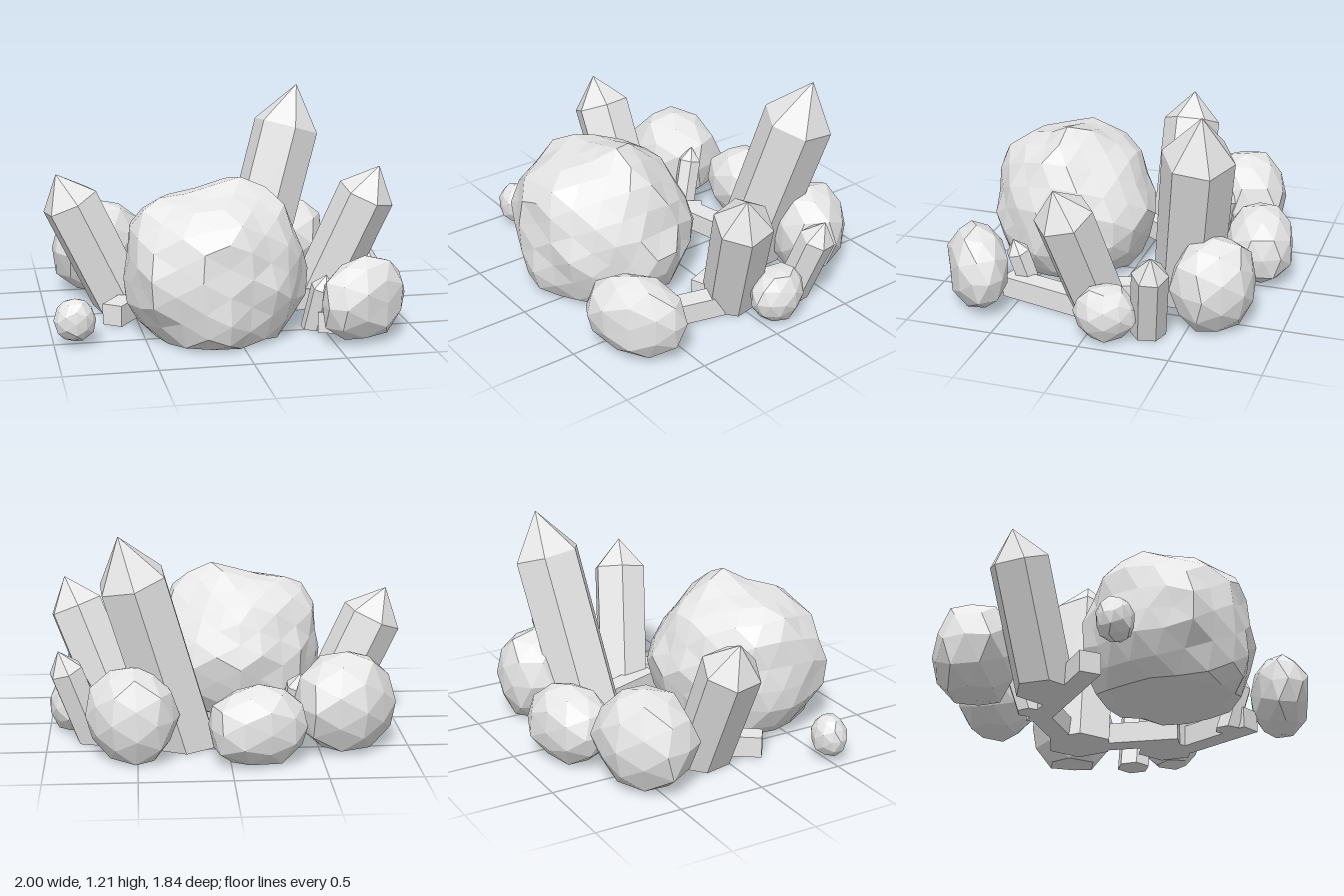
import * as THREE from 'three';

const stone = new THREE.MeshStandardMaterial({ color: 0xe7e7e7, flatShading: true });
stone.name = 'pale grey stone';

function mesh(name, geometry) {
  geometry.computeVertexNormals();
  const m = new THREE.Mesh(geometry, stone);
  m.name = name;
  return m;
}

// Smooth repeatable bumps in -1..1, so neighbouring facets never split apart
function bumps(v, seed, grain) {
  const x = v.x * grain, y = v.y * grain, z = v.z * grain;
  return (Math.sin(x * 7.3 + y * 3.1 + seed) + Math.sin(y * 8.1 - z * 4.3 + seed * 2.3)
    + Math.sin(z * 7.7 + x * 5.2 + seed * 3.7)) / 2.2;
}

function eachVertex(geometry, fn) {
  const p = geometry.attributes.position, v = new THREE.Vector3();
  for (let i = 0; i < p.count; i++) {
    v.fromBufferAttribute(p, i);
    fn(v);
    p.setXYZ(i, v.x, v.y, v.z);
  }
  return geometry;
}

// Faceted boulder: roughened, slightly boxy ball, stretched and turned, fitted to a box,
// swollen by lumps [centre, reach, push] and cut flat at the ground
function rock({ name, min, max, detail = 1, stretch = 1, yaw = 0, rough = 0.055, grain = 1, lumps = [], seed = 1 }) {
  const g = new THREE.IcosahedronGeometry(1, detail);
  eachVertex(g, (v) => {
    const boxy = 0.88 + 0.12 / Math.max(Math.abs(v.x), Math.abs(v.y), Math.abs(v.z));
    v.multiplyScalar(boxy * (1 + bumps(v, seed, grain) * rough));
    v.x *= stretch;
  });
  g.rotateY(yaw);
  g.computeBoundingBox();
  const lo = g.boundingBox.min.clone(), size = g.boundingBox.getSize(new THREE.Vector3());
  const a = new THREE.Vector3(...min), span = new THREE.Vector3(...max).sub(a);
  const swells = lumps.map(([c, reach, push]) => ({ c: new THREE.Vector3(...c), reach, push: new THREE.Vector3(...push) }));
  eachVertex(g, (v) => {
    v.sub(lo).divide(size).multiply(span).add(a);
    const start = v.clone();
    swells.forEach(({ c, reach, push }) => v.addScaledVector(push, Math.max(0, 1 - start.distanceTo(c) / reach)));
    v.y = Math.max(v.y, 0);
  });
  return mesh(name, g);
}

// Leaning six-sided crystal: prism cut level with the ground, and a pointed tip
function crystal({ name, base, apex, radius, tip, spin = 0 }) {
  const foot = new THREE.Vector3(...base), axis = new THREE.Vector3(...apex).sub(foot);
  const length = axis.length(), body = length - tip;
  axis.normalize();
  const turn = new THREE.Quaternion().setFromUnitVectors(new THREE.Vector3(0, 1, 0), axis);
  const place = (g, level) => eachVertex(g.rotateY(spin), (v) => {
    const atFoot = level && v.y < 0.001;
    v.applyQuaternion(turn).add(foot);
    if (atFoot) v.addScaledVector(axis, -v.y / axis.y);
  });
  const group = new THREE.Group();
  group.name = name;
  group.add(
    mesh('crystalBody', place(new THREE.CylinderGeometry(radius, radius * 0.98, body, 6).translate(0, body / 2, 0), true)),
    mesh('crystalTip', place(new THREE.ConeGeometry(radius, tip, 6, 1, true).translate(0, body + tip / 2, 0), false)),
  );
  return group;
}

// Low straight kerb between two ground points
function kerb([x1, z1], [x2, z2], width = 0.12, height = 0.12) {
  const g = new THREE.BoxGeometry(Math.hypot(x2 - x1, z2 - z1), height, width);
  g.rotateY(-Math.atan2(z2 - z1, x2 - x1));
  g.translate((x1 + x2) / 2, height / 2, (z1 + z2) / 2);
  return mesh('kerb', g);
}

// Swellings of the large boulder: crown, shoulders, flanks and foot
const largeLumps = [
  [[0.05, 0.78, 0.36], 0.2, [0, 0.1, 0]],
  [[0.2, 0.67, 0.4], 0.2, [0.04, 0.05, 0]],
  [[-0.45, 0.66, 0.38], 0.3, [-0.08, 0.04, 0]],
  [[-0.1, 0.64, 0.74], 0.3, [0, 0.02, 0.05]],
  [[-0.42, 0.45, 0.72], 0.35, [-0.05, 0, 0.05]],
  [[0.4, 0.2, 0.32], 0.25, [0.08, 0, 0]],
  [[-0.17, 0.15, 0.84], 0.25, [0, -0.03, 0.06]],
  [[-0.56, 0.22, 0.42], 0.25, [-0.06, 0, 0]],
  [[0.18, 0.35, -0.02], 0.25, [0.02, 0, -0.05]],
  [[-0.1, 0.35, -0.05], 0.2, [0, 0, -0.03]],
];

export function createModel() {
  const model = new THREE.Group();
  model.name = 'crystalRocks';

  // Boulders
  [
    { name: 'largeBoulder', min: [-0.57, -0.15, -0.07], max: [0.4, 0.8, 0.85], detail: 3, rough: 0.04, grain: 1.5, lumps: largeLumps, seed: 3 },
    { name: 'backRightBoulder', min: [-0.92, -0.02, -0.75], max: [-0.36, 0.55, -0.28], stretch: 1.25, yaw: 0.4, seed: 2 },
    { name: 'backBoulder', min: [-0.41, -0.02, -0.92], max: [0.12, 0.435, -0.52], stretch: 1.3, yaw: 0.3, seed: 5 },
    { name: 'backLeftBoulder', min: [0.27, -0.04, -0.83], max: [0.78, 0.51, -0.4], stretch: 1.15, yaw: -0.5, seed: 7 },
    { name: 'frontBoulder', min: [0.42, -0.02, 0.5], max: [0.925, 0.47, 0.92], stretch: 1.65, yaw: 0.65, seed: 4 },
    { name: 'leftPebble', min: [0.73, 0.01, -0.29], max: [1, 0.31, 0.065], stretch: 1.1, yaw: -0.8, seed: 8 },
    { name: 'rightPebble', min: [-1, 0.02, 0.42], max: [-0.77, 0.26, 0.61], stretch: 1.1, seed: 9 },
  ].forEach((r) => model.add(rock(r)));

  // Crystals
  [
    { name: 'tallCrystal', base: [0.24, 0, -0.385], apex: [0.59, 1.21, -0.55], radius: 0.2, tip: 0.26, spin: 0.05 },
    { name: 'rightCrystal', base: [-0.54, 0, -0.115], apex: [-0.92, 0.81, -0.1], radius: 0.17, tip: 0.18, spin: 0.2 },
    { name: 'leftCrystal', base: [0.58, 0, 0], apex: [0.91, 0.84, 0.16], radius: 0.165, tip: 0.18, spin: 0.15 },
    { name: 'smallLeftCrystal', base: [0.74, 0, -0.31], apex: [0.93, 0.54, -0.38], radius: 0.1, tip: 0.12, spin: 0.2 },
    { name: 'tinyBackCrystal', base: [-0.34, 0, -0.35], apex: [-0.4, 0.42, -0.47], radius: 0.07, tip: 0.08 },
    { name: 'tinyFrontCrystal', base: [0.45, 0, 0.47], apex: [0.5, 0.33, 0.56], radius: 0.07, tip: 0.08 },
  ].forEach((c) => model.add(crystal(c)));

  // Broken ring of kerbs linking the rocks
  [
    [[-0.65, 0.23], [-0.2, -0.4]],
    [[-0.24, -0.34], [0.29, -0.46]],
    [[0.26, -0.49], [0.49, 0.14]],
    [[0.63, 0.1], [0.51, 0.59]],
  ].forEach(([a, b]) => model.add(kerb(a, b)));

  return model;
}
